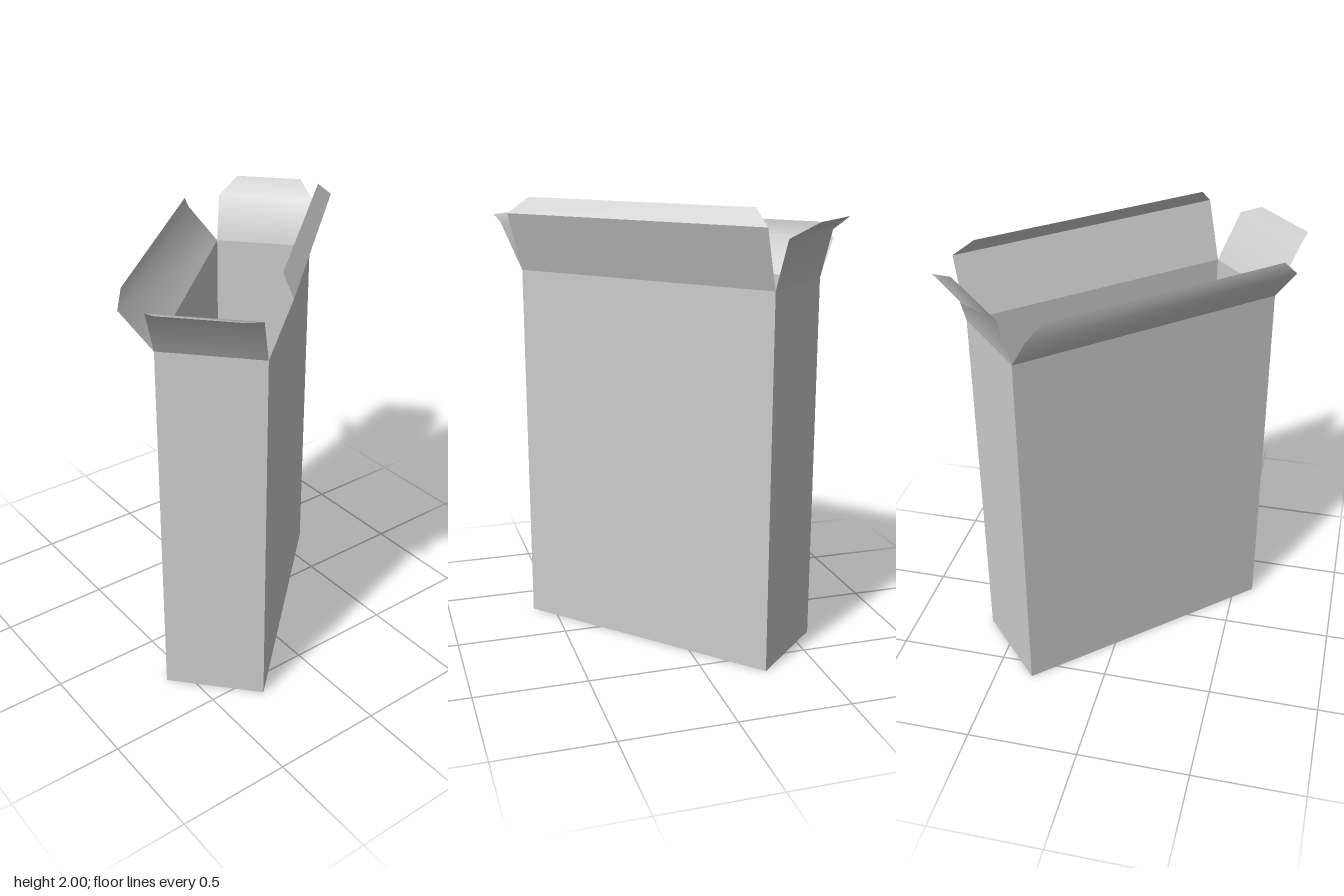
import * as THREE from 'three';
import { toCreasedNormals } from 'three/addons/utils/BufferGeometryUtils.js';

const W = 1.263, D = 0.449, H = 1.67; // carton body

const card = new THREE.MeshStandardMaterial({ color: 0xcccccc, side: THREE.DoubleSide });

function panel(name, w, h) {
  const mesh = new THREE.Mesh(new THREE.PlaneGeometry(w, h), card);
  mesh.name = name;
  return mesh;
}

// Folded flap hinged on a rim edge; each row is [inset at each end, outward, height above rim]
function flap(name, width, rows) {
  const pos = [], index = [];
  rows.forEach(([inset, out, up], i) => {
    const x = width / 2 - inset;
    pos.push(-x, up, out, x, up, out);
    if (i > 0) {
      const a = 2 * (i - 1);
      index.push(a, a + 1, a + 3, a, a + 3, a + 2);
    }
  });
  const geo = new THREE.BufferGeometry();
  geo.setAttribute('position', new THREE.Float32BufferAttribute(pos, 3));
  geo.setIndex(index);
  const mesh = new THREE.Mesh(toCreasedNormals(geo, THREE.MathUtils.degToRad(50)), card);
  mesh.name = name;
  mesh.position.y = H;
  return mesh;
}

export function createModel() {
  const model = new THREE.Group();
  model.name = 'openCarton';

  // Four sides: a wall and its folded top flap, turned to face outward
  const sides = [
    { name: 'front', width: W, dist: D / 2, turn: 0, rows: [[0, 0, 0], [-0.003, 0.09, 0.26], [0.076, 0.037, 0.33]] },
    { name: 'left', width: D, dist: W / 2, turn: 1, rows: [[0, 0, 0], [0, 0.052, 0.21], [0.072, 0.155, 0.275]] },
    { name: 'back', width: W, dist: D / 2, turn: 2, rows: [[0, 0, 0], [0, 0.138, 0.16], [0.07, 0.14, 0.225]] },
    { name: 'right', width: D, dist: W / 2, turn: 3, rows: [[0, 0, 0], [0, 0.116, 0.21], [0.052, 0.195, 0.237]] },
  ];
  for (const s of sides) {
    const side = new THREE.Group();
    side.name = s.name + 'Side';
    const wall = panel(s.name + 'Wall', s.width, H);
    wall.position.set(0, H / 2, s.dist);
    const top = flap(s.name + 'Flap', s.width, s.rows);
    top.position.z = s.dist;
    side.add(wall, top);
    side.rotation.y = s.turn * Math.PI / 2;
    model.add(side);
  }

  // Closed base
  const base = panel('base', W, D);
  base.rotation.x = Math.PI / 2;
  model.add(base);

  // The carton stands turned on the ground
  model.rotation.y = 0.749;
  model.position.set(0.021, 0, 0.004);
  const root = new THREE.Group();
  root.name = 'carton';
  root.add(model);
  return root;
}
